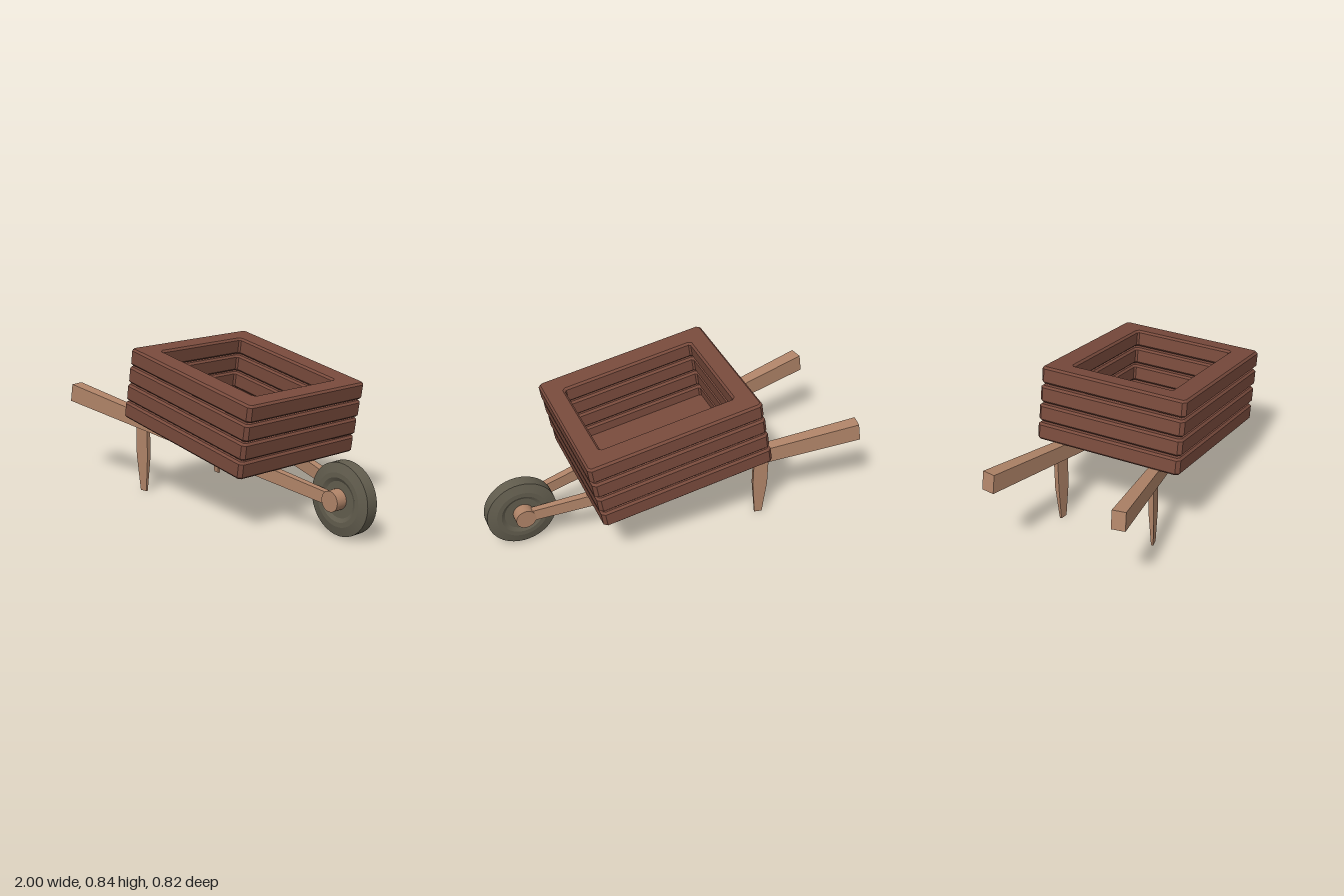
import * as THREE from 'three';

const TILT = -0.162; // forward slope of the tray and handles
const darkWood = new THREE.MeshStandardMaterial({ color: 0x784a3c });
const lightWood = new THREE.MeshStandardMaterial({ color: 0xb08468 });
const rubber = new THREE.MeshStandardMaterial({ color: 0x625d4e });

function add(parent, name, geometry, material) {
  const mesh = new THREE.Mesh(geometry, material);
  mesh.name = name;
  parent.add(mesh);
  return mesh;
}

// Rectangle outline with cut corners
function cutRect(Type, w, h, c) {
  const pts = [
    [w - c, -h], [w, -h + c], [w, h - c], [w - c, h],
    [-w + c, h], [-w, h - c], [-w, -h + c], [-w + c, -h],
  ];
  return new Type(pts.map(([x, y]) => new THREE.Vector2(x, y)));
}

// Bevelled rectangular frame, lying flat and centred on its own height
function slatRing(halfX, halfZ, holeX, holeZ, height) {
  const b = 0.011;
  const shape = cutRect(THREE.Shape, halfX - b, halfZ - b, 0.012);
  shape.holes.push(cutRect(THREE.Path, holeX + b, holeZ + b, 0.016));
  const geo = new THREE.ExtrudeGeometry(shape, {
    depth: height - 2 * b, bevelThickness: b, bevelSize: b, bevelSegments: 1,
  });
  geo.translate(0, 0, b - height / 2);
  return geo.rotateX(-Math.PI / 2);
}

// Square beam between two points, with its own height and width at each end
function beam(from, to, [h0, w0], [h1, w1]) {
  const a = new THREE.Vector3(...from), d = new THREE.Vector3(...to).sub(a);
  const length = d.length();
  const geo = new THREE.BoxGeometry(length, 1, 1);
  const p = geo.attributes.position;
  for (let i = 0; i < p.count; i++) {
    const far = p.getX(i) > 0;
    p.setXYZ(i, far ? length : 0, p.getY(i) * (far ? h1 : h0), p.getZ(i) * (far ? w1 : w0));
  }
  // Keep the beam's side faces upright
  const x = d.normalize();
  const z = new THREE.Vector3().crossVectors(x, new THREE.Vector3(0, 1, 0)).normalize();
  const y = new THREE.Vector3().crossVectors(z, x);
  geo.applyMatrix4(new THREE.Matrix4().makeBasis(x, y, z).setPosition(a));
  geo.computeVertexNormals();
  return geo;
}

// Leg that stays straight at the top and narrows to the foot
function legGeometry(height) {
  const geo = new THREE.BoxGeometry(0.08, height, 0.026, 1, 2, 1);
  const p = geo.attributes.position;
  for (let i = 0; i < p.count; i++) {
    const y = p.getY(i);
    if (Math.abs(y) < 0.001) p.setY(i, 0.01);
    if (y < -0.001) p.setXYZ(i, p.getX(i) * 0.52, y, p.getZ(i) * 0.45);
  }
  geo.translate(0, height / 2, 0);
  geo.computeVertexNormals();
  return geo;
}

export function createModel() {
  const model = new THREE.Group();
  model.name = 'wheelbarrow';

  // Tray: four stacked slat frames and a floor
  const tray = new THREE.Group();
  tray.name = 'tray';
  tray.position.set(0.0475, 0.566, 0);
  tray.rotation.z = TILT;
  model.add(tray);
  const ring = slatRing(0.478, 0.41, 0.366, 0.28, 0.092);
  for (let i = 0; i < 4; i++) {
    const slat = add(tray, 'slatFrame' + (i + 1), ring, darkWood);
    slat.position.set((i - 1.5) * 0.005, (i - 1.5) * 0.1015, 0);
  }
  add(tray, 'trayFloor', new THREE.BoxGeometry(0.8, 0.03, 0.62), darkWood).position.set(-0.007, -0.182, 0);

  // Handles converging on the axle, each with a leg
  const leg = legGeometry(0.385);
  for (const side of [1, -1]) {
    const name = side > 0 ? 'left' : 'right';
    add(model, name + 'Handle',
      beam([-0.983, 0.49, side * 0.36 - 0.007], [0.805, 0.2, side * 0.064 + 0.008], [0.1, 0.072], [0.062, 0.034]),
      lightWood);
    const post = add(model, name + 'Leg', leg, lightWood);
    post.position.set(-0.463, 0, side * 0.27 + 0.004);
    post.rotation.y = side * 0.165;
  }

  // Axle and wheel
  const axle = add(model, 'axle', new THREE.CylinderGeometry(0.054, 0.054, 0.194, 32), lightWood);
  axle.rotation.x = Math.PI / 2;
  axle.position.set(0.805, 0.2, 0.009);

  const half = [[0, 0.034], [0.095, 0.034], [0.115, 0.046], [0.14, 0.046], [0.19, 0.033]];
  const profile = [...half.map(([r, y]) => [r, -y]), ...half.slice().reverse()];
  // Separate bands keep the edges of the tyre crisp
  const wheel = new THREE.Group();
  wheel.name = 'wheel';
  wheel.rotation.x = Math.PI / 2;
  wheel.position.set(0.81, 0.198, 0.008);
  model.add(wheel);
  for (let i = 0; i < profile.length - 1; i++) {
    const band = [profile[i], profile[i + 1]].map(([r, y]) => new THREE.Vector2(r, y));
    add(wheel, 'wheelBand' + (i + 1), new THREE.LatheGeometry(band, 40), rubber);
  }

  return model;
}
